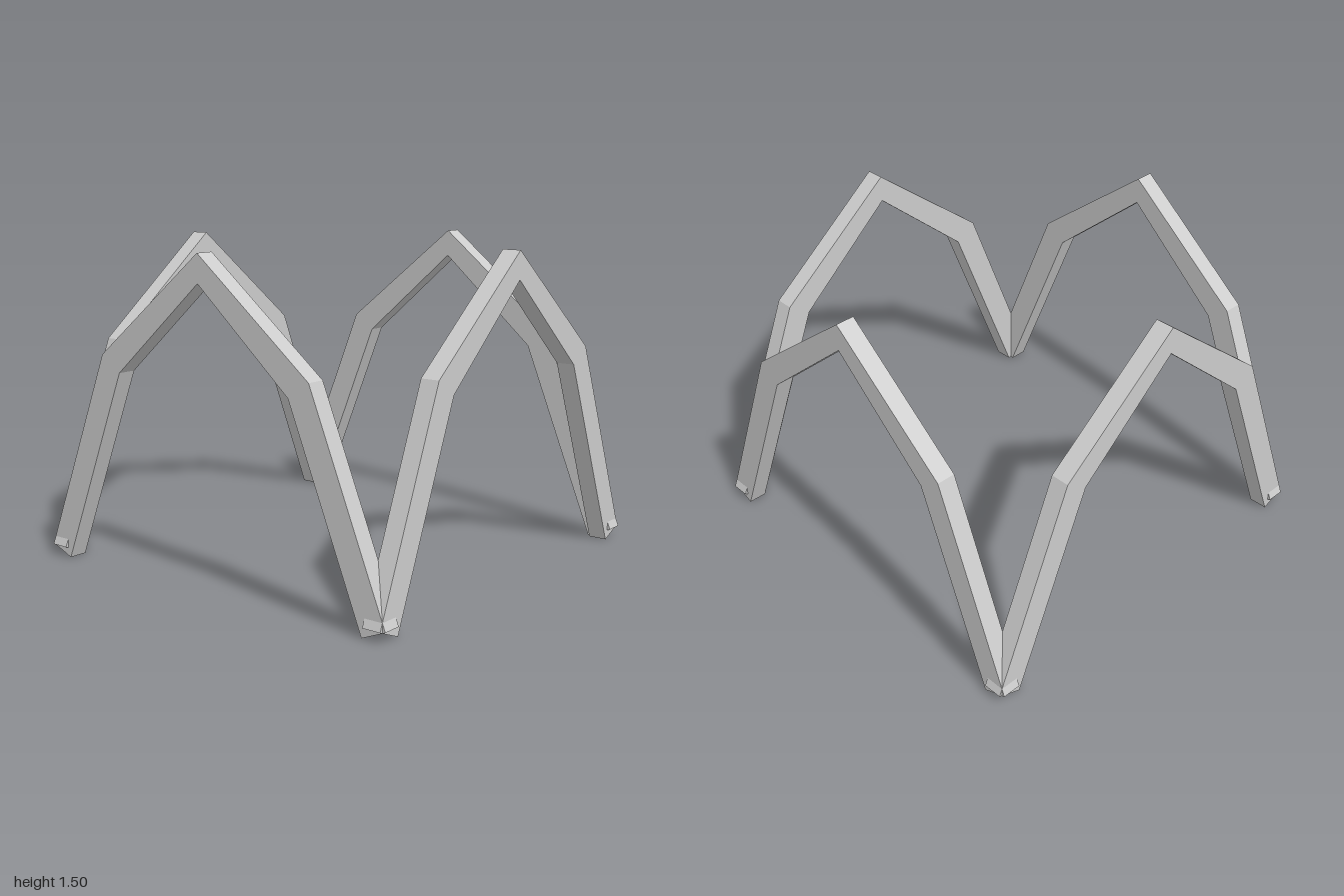
import * as THREE from 'three';

const material = new THREE.MeshStandardMaterial({ color: 0xcccccc, flatShading: true });

// Half outlines of the bent beam, from foot to apex
const outer = [[-1, 0.05], [-0.61, 1.01], [0, 1.5]];
const inner = [[-0.88, 0], [-0.5, 0.935], [0, 1.37]];
const thickness = 0.09;
const offset = 0.94; // distance of each arch's mid-plane from the centre

// Mirror a half outline across x = 0 to get the full span
function fullSpan(half) {
  const right = half.slice(0, -1).reverse().map(([x, y]) => [-x, y]);
  return [...half, ...right];
}

export function createModel() {
  const model = new THREE.Group();
  model.name = 'archFrame';

  // One arch: outer edge up and over, inner edge back
  const outline = [...fullSpan(outer), ...fullSpan(inner).reverse()];
  const shape = new THREE.Shape(outline.map(([x, y]) => new THREE.Vector2(x, y)));
  const geometry = new THREE.ExtrudeGeometry(shape, { depth: thickness, bevelEnabled: false });
  geometry.translate(0, 0, offset - thickness / 2);

  // Four arches around the square, crossing at the feet
  ['frontArch', 'leftArch', 'backArch', 'rightArch'].forEach((name, i) => {
    const arch = new THREE.Mesh(geometry, material);
    arch.name = name;
    arch.rotation.y = i * Math.PI / 2;
    model.add(arch);
  });
  return model;
}
